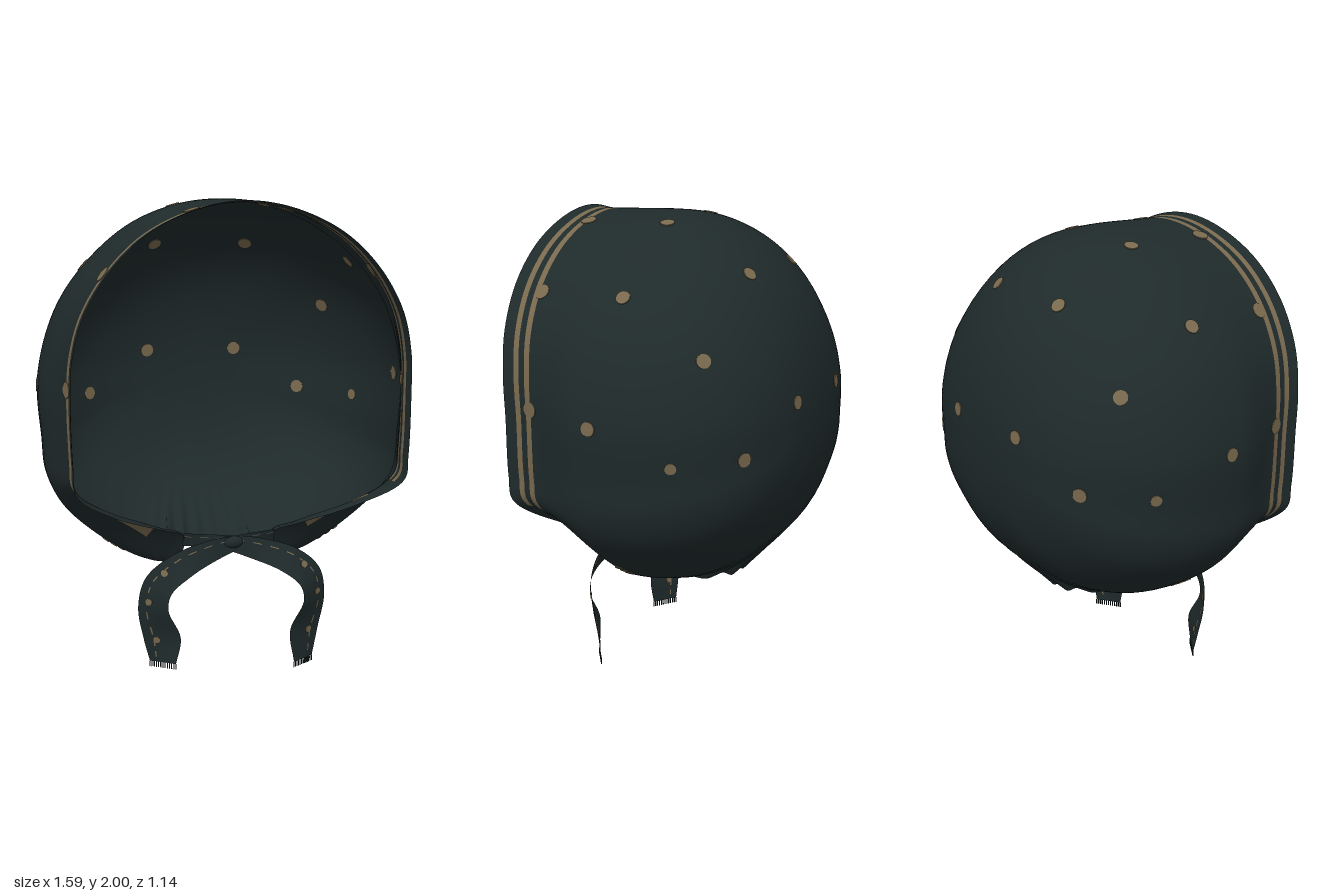
import * as THREE from 'three';

const CY = 1.2, ZC = 0.1, DEPTH = 0.67; // centre height, widest z, back depth
const V = (x, y, z = 0) => new THREE.Vector3(x, y, z);
const { smoothstep, lerp, clamp } = THREE.MathUtils;

const cloth = new THREE.MeshStandardMaterial({ color: 0x1f2a2b, side: THREE.DoubleSide });
cloth.name = 'dark teal cloth';
const tan = new THREE.MeshStandardMaterial({ color: 0x79694e, side: THREE.DoubleSide });
tan.name = 'tan print';

// closed symmetric curve from a half outline that runs bottom to top
function loop(half) {
  const other = half.slice(1, -1).reverse().map(([x, y, z]) => [-x, y, z]);
  return new THREE.CatmullRomCurve3([...half, ...other].map(p => V(...p)), true);
}
const bodyCurve = loop([[0, .42], [.2, .42], [.33, .45], [.42, .49], [.58, .6], [.7, .72], [.763, .85],
  [.778, 1], [.79, 1.25], [.72, 1.52], [.6, 1.71], [.4, 1.89], [.2, 1.975], [0, 2]].map(([x, y]) => [x, y, 0]));
const rimCurve = loop([[0, .435, -.22], [.08, .43, -.2], [.15, .425, -.12], [.195, .42, 0], [.2, .46, .17],
  [.2, .58, .26], [.3, .62, .3], [.52, .71, .4], [.69, .84, .525], [.702, .95, .535], [.708, 1.2, .535],
  [.70, 1.38, .545], [.655, 1.555, .56], [.55, 1.73, .57], [.4, 1.873, .565], [.2, 1.968, .555], [0, 2, .55]]);

// angle measured from straight down
const angleOf = (x, y) => Math.atan2(Math.abs(x), CY - y);
function polar(curve) {
  const table = curve.getPoints(600).filter(p => p.x >= 0)
    .map(p => ({ b: angleOf(p.x, p.y), r: Math.hypot(p.x, p.y - CY), z: p.z })).sort((p, q) => p.b - q.b);
  return b => {
    let i = table.findIndex(p => p.b >= b);
    if (i < 0) i = table.length - 1;
    const q = table[i], p = table[Math.max(0, i - 1)];
    const t = q.b > p.b ? clamp((b - p.b) / (q.b - p.b), 0, 1) : 0;
    return { r: lerp(p.r, q.r, t), z: lerp(p.z, q.z, t) };
  };
}
const bodyAt = polar(bodyCurve), rimAt = polar(rimCurve);

// the back is rounder on top, fuller at the sides and below
const power = b => lerp(.9, .78, smoothstep(Math.cos(b), -1, 0));
const backRadius = (b, R, z) => R * Math.pow(Math.max(0, 1 - ((ZC - z) / DEPTH) ** 2), power(b) / 2);

function surface(b, sign, z, R, rim) {
  let r;
  if (z > ZC) { // draw in towards the rim, then flare slightly
    const t = (z - ZC) / Math.max(1e-4, rim.z - ZC);
    r = lerp(R, rim.r - .01, smoothstep(t, .1, .87)) + .01 * smoothstep(t, .85, 1);
  } else {
    r = backRadius(b, R, z);
    if (rim.z < ZC) { // pull down to the neck edge
      const u = Math.acos(clamp((ZC - z) / DEPTH, -1, 1)) / Math.acos((ZC - rim.z) / DEPTH);
      r += (rim.r - backRadius(b, R, rim.z)) * u ** 6;
    }
  }
  // gathers round the neck
  const low = clamp((.66 - (CY - r * Math.cos(b))) / .24, 0, 1);
  r += .011 * Math.cos(b * 64) * low * (1 - smoothstep(b, .2, .42));
  return V(sign * r * Math.sin(b), CY - r * Math.cos(b), z);
}

function grouped(name, positions, clothIndex, tanIndex) {
  const g = new THREE.BufferGeometry();
  g.setAttribute('position', new THREE.Float32BufferAttribute(positions, 3));
  g.setIndex([...clothIndex, ...tanIndex]);
  g.addGroup(0, clothIndex.length, 0);
  g.addGroup(clothIndex.length, tanIndex.length, 1);
  g.computeVertexNormals();
  const m = new THREE.Mesh(g, [cloth, tan]);
  m.name = name;
  return m;
}

// hood shell, with two printed stripes along the rim
function makeHood() {
  const COLS = 480, BACK = 26, FRONT = 12, edge = [.125, .098, .07, .047, 0];
  const rows = BACK + FRONT + edge.length, pos = [], plain = [], print = [];
  const cols = rimCurve.getSpacedPoints(COLS);
  cols.forEach(p => {
    const b = angleOf(p.x, p.y), sign = p.x < 0 ? -1 : 1, R = bodyAt(b).r;
    const rim = { r: Math.hypot(p.x, p.y - CY), z: p.z };
    const zEnd = Math.min(ZC, p.z), front = Math.max(0, p.z - ZC), aEnd = Math.acos((ZC - zEnd) / DEPTH);
    const k = Math.min(1, front / .2);
    for (let j = 0; j < rows; j++) {
      let z;
      if (j < BACK) z = ZC - DEPTH * Math.cos(aEnd * j / (BACK - 1));
      else if (j < BACK + FRONT) z = zEnd + (front - edge[0] * k) * (j - BACK + 1) / (FRONT + 1);
      else z = p.z - edge[j - BACK - FRONT] * k;
      pos.push(...surface(b, sign, z, R, rim).toArray());
    }
  });
  for (let i = 0; i < COLS; i++) {
    const { x, y } = cols[i], ax = Math.abs(x);
    for (let j = 0; j < rows - 1; j++) {
      const a = i * rows + j, c = a + rows, e = j - BACK - FRONT;
      const striped = y > .81 ? e === 0 || e === 2 : ax > .33 && ax < .58 && (e === 1 || e === 2);
      (striped ? print : plain).push(a, a + 1, c, c, a + 1, c + 1);
    }
  }
  return grouped('hood', pos, plain, print);
}

// thin printed dot that shows on both sides of the cloth
function makeDot(point, normal, radius) {
  const m = new THREE.Mesh(new THREE.CylinderGeometry(radius, radius, .007, 14), tan);
  m.position.copy(point);
  m.quaternion.setFromUnitVectors(V(0, 1, 0), normal.normalize());
  m.name = 'dot';
  return m;
}
function hoodDot(x, y, z, radius = .03) {
  const b = angleOf(x, y), sign = Math.sign(x);
  const at = (bb, zz) => surface(bb, sign, zz, bodyAt(bb).r, rimAt(bb));
  if (z === undefined) { // on the back: depth follows from the distance to the centre
    const s = Math.min(1, (Math.hypot(x, y - CY) / bodyAt(b).r) ** (1 / power(b)));
    z = ZC - DEPTH * Math.sqrt(1 - s * s);
  }
  const n = at(b + .02, z).sub(at(b - .02, z)).cross(at(b, z + .01).sub(at(b, z - .01)));
  return makeDot(at(b, z), n, radius);
}

// ribbon tie between an outer and an inner edge, with a frayed end
function makeTie(sign, endY, lift) {
  const path = pts => new THREE.CatmullRomCurve3(pts.map(([x, y, z], i) =>
    V(sign * x, i === pts.length - 1 ? endY : y, z + (i < 4 ? lift : 0))));
  const outer = path([[-.2, .59, .25], [-.05, .585, .29], [.12, .57, .32], [.28, .52, .345], [.38, .43, .34],
    [.41, .3, .32], [.385, .15, .31], [.36, .02, .31]]);
  const inner = path([[-.2, .53, .23], [-.05, .525, .29], [.09, .48, .33], [.2, .435, .38], [.28, .37, .40],
    [.295, .3, .4], [.24, .17, .385], [.26, .02, .38]]);
  const at = (t, v) => outer.getPoint(t).lerp(inner.getPoint(t), v);
  const N = 60, stops = [0, .25, .29, .65, 1], w = stops.length, pos = [], plain = [], print = [];
  for (let i = 0; i <= N; i++) stops.forEach(v => pos.push(...at(i / N, v).toArray()));
  for (let i = 0; i < N; i++) for (let j = 0; j < w - 1; j++) {
    const a = i * w + j, c = a + w;
    (j === 1 && i % 4 < 2 ? print : plain).push(a, c, a + 1, a + 1, c, c + 1);
  }
  const tie = new THREE.Group();
  tie.name = sign > 0 ? 'leftTie' : 'rightTie';
  tie.add(grouped('ribbon', pos, plain, print));
  for (const t of [.5, .68, .86]) {
    const n = at(t + .01, .4).sub(at(t - .01, .4)).cross(at(t, 1).sub(at(t, 0)));
    tie.add(makeDot(at(t, .35), n, .015));
  }
  for (let i = 0; i <= 12; i++) {
    const thread = new THREE.Mesh(new THREE.BoxGeometry(.004, .024, .004), cloth);
    thread.position.copy(at(1, i / 12));
    thread.position.y -= .012;
    thread.name = 'fringe';
    tie.add(thread);
  }
  return tie;
}

export function createModel() {
  const model = new THREE.Group();
  model.name = 'bonnet';
  model.add(makeHood());

  const dots = new THREE.Group();
  dots.name = 'printedDots';
  const spots = [[.21, 1.79], [.21, 1.28], [.575, 1.5], [.5, 1.1], [.69, 1.09, -.23, .024], [.61, 1.745, .04],
    [.79, 1.23, .09], [.2, 1.97, .045], [.2, 1.97, .425, .034], [.6, 1.75, .435, .034], [.7, 1.25, .415, .034],
    [.43, .53, .11, .018], [.46, .555, .115, .018], [.49, .58, .12, .018]];
  for (const [x, y, z, r] of spots) for (const s of [1, -1]) dots.add(hoodDot(s * x, y, z, r));
  model.add(dots);

  model.add(makeTie(1, .024, 0), makeTie(-1, .055, .012));
  const knot = new THREE.Mesh(new THREE.SphereGeometry(1, 16, 10), cloth);
  knot.scale.set(.05, .028, .022);
  knot.position.set(0, .555, .305);
  knot.name = 'knot';
  model.add(knot);
  return model;
}
